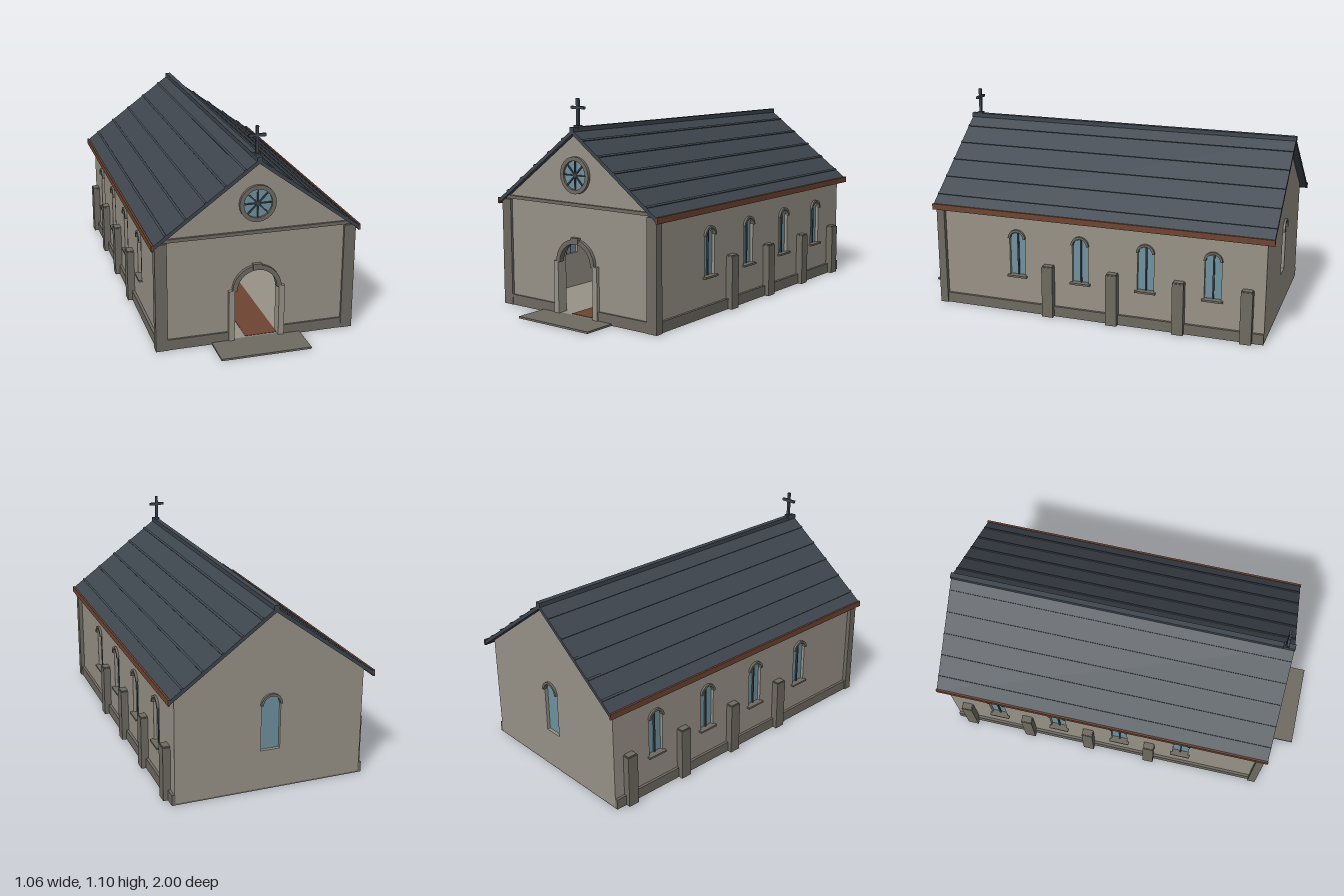
import * as THREE from 'three';

const mat = (name, color) => Object.assign(new THREE.MeshStandardMaterial({ color }), { name });

export function createModel() {
  const stone = mat('pale stone', 0x989287), trim = mat('dark stone', 0x6e6a61);
  const slate = mat('slate', 0x3d454d), wood = mat('brown wood', 0x6e4431);
  const glass = mat('blue glass', 0x6f92a0);
  const root = new THREE.Group();
  root.name = 'chapel';

  const add = (parent, name, geo, material, x = 0, y = 0, z = 0) => {
    const m = new THREE.Mesh(geo, material);
    m.name = name;
    m.position.set(x, y, z);
    parent.add(m);
    return m;
  };
  // Box given by its limits on each axis
  const box = (parent, name, material, x0, x1, y0, y1, z0, z1) =>
    add(parent, name, new THREE.BoxGeometry(x1 - x0, y1 - y0, z1 - z0), material,
      (x0 + x1) / 2, (y0 + y1) / 2, (z0 + z1) / 2);
  const extrude = (shape, depth, curveSegments = 10) =>
    new THREE.ExtrudeGeometry(shape, { depth, bevelEnabled: false, curveSegments });
  const poly = pts => new THREE.Shape(pts.map(p => new THREE.Vector2(p[0], p[1])));

  // Upright opening with a round or flattened head
  const arched = (cx, half, y0, spring, rise = half) => {
    const s = new THREE.Shape();
    s.moveTo(cx - half, y0);
    s.lineTo(cx + half, y0);
    s.lineTo(cx + half, spring);
    s.absellipse(cx, spring, half, rise, 0, Math.PI, false, 0);
    s.closePath();
    return s;
  };
  // Half ring for arch mouldings
  const archRing = (inner, outer, y) => {
    const s = new THREE.Shape();
    s.absarc(0, y, outer, 0, Math.PI, false);
    s.absarc(0, y, inner, Math.PI, 0, true);
    s.closePath();
    return s;
  };

  const W = 0.49, T = 0.04, FRONT = 0.815, BACK = -0.96;
  const apex = 0.945, slope = 0.736;
  const gable = [[-W, 0], [W, 0], [W, 0.565], [0, 0.925], [-W, 0.565]];

  // Floor, carpet and entrance slab
  box(root, 'floor', trim, -W, W, 0, 0.008, BACK, FRONT);
  box(root, 'innerFloor', stone, -W + T, W - T, 0.008, 0.01, BACK + T, FRONT - T);
  box(root, 'aisle', wood, -0.05, 0.115, 0.01, 0.012, -0.6, FRONT - 0.01);
  box(root, 'entranceSlab', trim, -0.23, 0.23, 0, 0.01, FRONT, 1);

  // Front wall with doorway and round window opening
  const front = poly(gable);
  front.holes.push(arched(0, 0.115, 0.01, 0.275));
  const rose = new THREE.Path();
  rose.absarc(0, 0.72, 0.075, 0, Math.PI * 2, true);
  front.holes.push(rose);
  add(root, 'frontWall', extrude(front, T), stone, 0, 0, FRONT - T);

  // Back wall
  const back = poly(gable);
  back.holes.push(arched(0, 0.05, 0.21, 0.45));
  add(root, 'backWall', extrude(back, T), stone, 0, 0, BACK);

  // Window, built facing +z with the wall face at z = 0
  const makeWindow = (half, y0, spring, rise, outer, barred) => {
    const g = new THREE.Group();
    g.name = 'window';
    add(g, 'pane', extrude(arched(0, half, y0, spring, rise), 0.008), glass, 0, 0, -0.025);
    add(g, 'windowArch', extrude(archRing(outer - 0.012, outer, spring), 0.022), trim, 0, 0, -0.01);
    if (barred) {
      box(g, 'mullion', slate, -0.004, 0.004, y0, spring + rise, -0.028, -0.008);
      box(g, 'sill', trim, -0.055, 0.055, y0 - 0.006, y0 + 0.004, -0.02, 0.018);
    } else {
      box(g, 'innerSill', trim, -0.063, 0.063, y0 - 0.005, y0 + 0.005, -T - 0.015, -0.02);
    }
    root.add(g);
    return g;
  };
  const rearWindow = makeWindow(0.05, 0.21, 0.45, 0.05, 0.056, false);
  rearWindow.rotation.y = Math.PI;
  rearWindow.position.z = BACK;

  const windowZ = [0.37, 0.015, -0.34, -0.692];
  for (const s of [-1, 1]) {
    // Side wall with four arched openings
    const wall = new THREE.Shape();
    const ends = [-s * (FRONT - T), -s * (BACK + T)].sort((a, b) => a - b);
    wall.moveTo(ends[0], 0);
    wall.lineTo(ends[1], 0);
    wall.lineTo(ends[1], 0.56);
    wall.lineTo(ends[0], 0.56);
    wall.closePath();
    for (const z of windowZ) wall.holes.push(arched(-s * z, 0.044, 0.2, 0.41));
    const side = add(root, 'sideWall', extrude(wall, T), stone, s * (W - T), 0, 0);
    side.rotation.y = s * Math.PI / 2;

    for (const z of windowZ) {
      const w = makeWindow(0.044, 0.2, 0.41, 0.025, 0.049, true);
      w.rotation.y = s * Math.PI / 2;
      w.position.set(s * W, 0, z);
      // Buttress beside each window
      const bz = z - 0.18;
      const b = box(root, 'buttress', trim, -0.021, 0.021, 0, 0.278, bz - 0.03, bz + 0.03);
      b.position.x = s * 0.507;
      const cap = box(root, 'buttressCap', trim, -0.019, 0.019, 0.278, 0.284, bz - 0.026, bz + 0.026);
      cap.position.x = s * 0.506;
    }

    // Plinths, corner pier and door jamb
    const plinth = box(root, 'sidePlinth', trim, -0.009, 0.009, 0, 0.055, BACK, 0.785);
    plinth.position.x = s * 0.495;
    const frontPlinth = box(root, 'frontPlinth', trim, -0.16, 0.16, 0, 0.055, FRONT - 0.005, FRONT + 0.01);
    frontPlinth.position.x = s * 0.295;
    const pier = box(root, 'cornerPier', trim, -0.03, 0.03, 0, 0.56, 0.785, 0.828);
    pier.position.x = s * 0.482;
    const jamb = box(root, 'doorJamb', stone, -0.015, 0.015, 0.01, 0.278, FRONT - T, 0.833);
    jamb.position.x = s * 0.129;

    // Roof slope, standing ribs and eave board
    const pts = [[0, apex], [s * 0.527, apex - slope * 0.527], [s * 0.527, apex - slope * 0.527 - 0.022], [0, apex - 0.022]];
    add(root, 'roofSlope', extrude(poly(pts), 1.837), slate, 0, 0, -0.997);
    for (let i = 0; i < 5; i++) {
      const x = 0.068 + i * 0.098;
      const rib = box(root, 'roofRib', slate, -0.006, 0.006, -0.004, 0.004, -0.997, 0.84);
      rib.position.x = s * x;
      rib.position.y = apex - slope * x + 0.001;
      rib.rotation.z = -s * Math.atan(slope);
    }
    const eave = box(root, 'eaveBoard', wood, -0.005, 0.005, 0.535, 0.566, -1, 0.843);
    eave.position.x = s * 0.525;
  }

  // Front band, door arch and keystone
  box(root, 'gableBand', trim, -W, W, 0.565, 0.582, FRONT - 0.005, FRONT + 0.012);
  add(root, 'doorArch', extrude(archRing(0.102, 0.126, 0.275), 0.03), trim, 0, 0, FRONT - 0.012);
  box(root, 'keystone', trim, -0.023, 0.023, 0.38, 0.409, FRONT - 0.012, FRONT + 0.022);

  // Round window: twelve-sided ring, pane and spokes
  const roseWindow = new THREE.Group();
  roseWindow.name = 'roundWindow';
  roseWindow.position.set(0, 0.72, FRONT);
  root.add(roseWindow);
  const ring = new THREE.Shape();
  ring.absarc(0, 0, 0.093, 0, Math.PI * 2, false);
  const ringHole = new THREE.Path();
  ringHole.absarc(0, 0, 0.072, 0, Math.PI * 2, true);
  ring.holes.push(ringHole);
  add(roseWindow, 'roundFrame', extrude(ring, 0.025, 12), trim, 0, 0, -0.01);
  const pane = add(roseWindow, 'roundPane', new THREE.CylinderGeometry(0.074, 0.074, 0.008, 24), glass);
  pane.rotation.x = Math.PI / 2;
  for (let i = 0; i < 4; i++) {
    const spoke = box(roseWindow, 'spoke', slate, -0.073, 0.073, -0.0035, 0.0035, 0.003, 0.01);
    spoke.rotation.z = i * Math.PI / 4;
  }

  // Ridge cap and roof cross
  box(root, 'ridgeCap', slate, -0.014, 0.014, 0.932, 0.957, -1, 0.843);
  box(root, 'crossBase', slate, -0.015, 0.015, 0.945, 0.965, 0.78, 0.81);
  box(root, 'crossPost', slate, -0.007, 0.007, 0.96, 1.097, 0.788, 0.802);
  box(root, 'crossArm', slate, -0.043, 0.043, 1.044, 1.058, 0.788, 0.802);

  // Altar with a small wooden cross
  box(root, 'altarStep', trim, -0.25, 0.25, 0.01, 0.03, -0.9, -0.6);
  box(root, 'altar', stone, -0.14, 0.14, 0.03, 0.114, -0.83, -0.7);
  box(root, 'altarTop', stone, -0.15, 0.15, 0.114, 0.122, -0.84, -0.69);
  box(root, 'altarCrossPost', wood, -0.006, 0.006, 0.122, 0.196, -0.771, -0.759);
  box(root, 'altarCrossArm', wood, -0.043, 0.043, 0.14, 0.152, -0.771, -0.759);

  return root;
}
